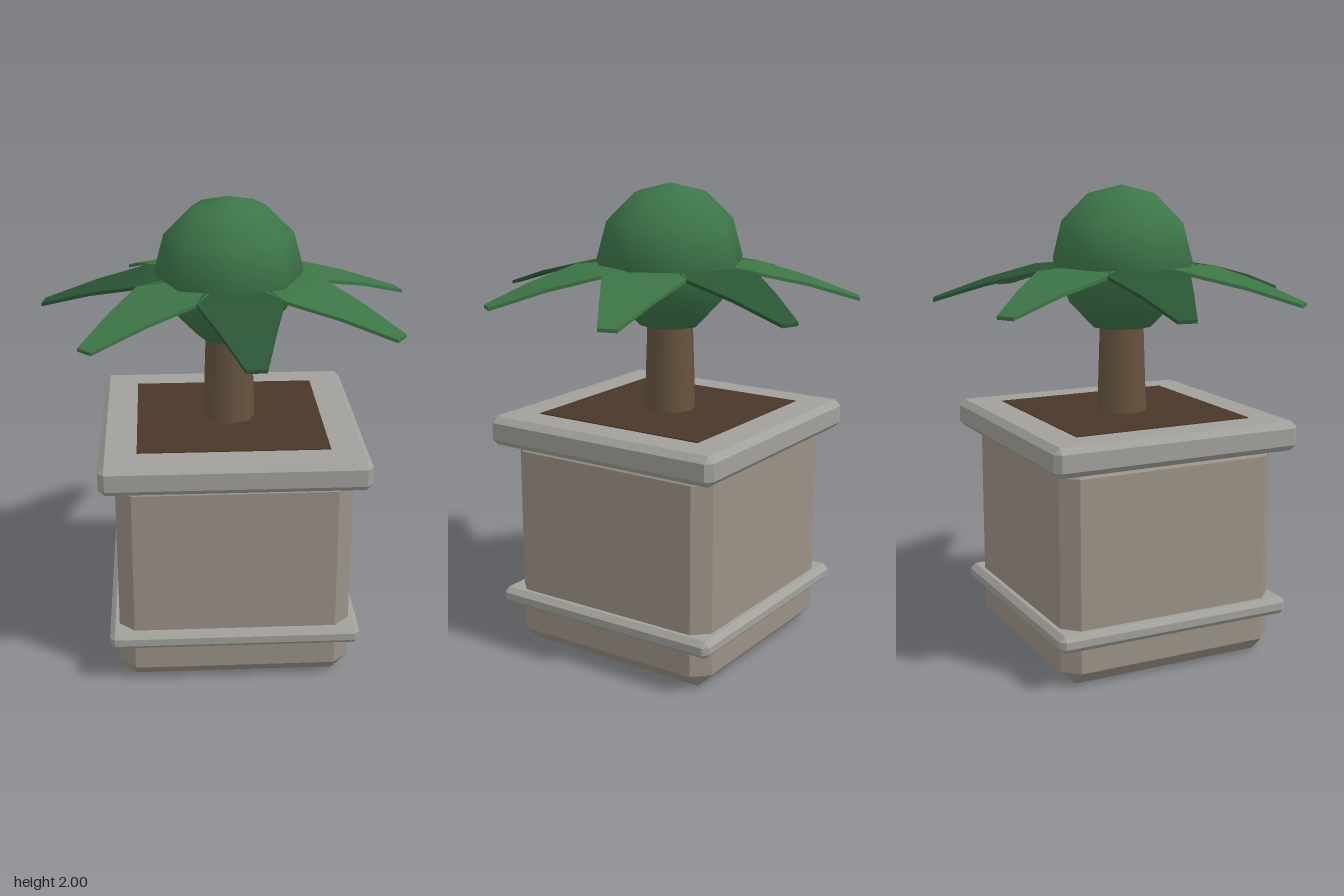
import * as THREE from 'three';
import { ConvexGeometry } from 'three/addons/geometries/ConvexGeometry.js';

const paint = (color, flatShading = false) => new THREE.MeshStandardMaterial({ color, flatShading });

// Box with every edge and corner cut off by c, resting at height y0
function chamferBox(w, y0, y1, c) {
  const h = w / 2, v = (y1 - y0) / 2, points = [];
  for (const x of [-1, 1]) for (const y of [-1, 1]) for (const z of [-1, 1]) {
    points.push(
      new THREE.Vector3(x * h, y * (v - c), z * (h - c)),
      new THREE.Vector3(x * (h - c), y * v, z * (h - c)),
      new THREE.Vector3(x * (h - c), y * (v - c), z * h));
  }
  return new ConvexGeometry(points).translate(0, (y0 + y1) / 2, 0);
}

// Thin drooping leaf along +x: sections of [reach, height, half width]
function leafGeometry() {
  const sections = [[0.18, 1.672, 0.11], [0.365, 1.655, 0.176], [0.58, 1.602, 0.109], [0.8, 1.53, 0.04]];
  const t = 0.014, pos = [], index = [];
  for (const [r, y, w] of sections) pos.push(r, y, w, r, y, -w, r, y - t, -w, r, y - t, w);
  const quad = (a, b, c, d) => index.push(a, b, c, a, c, d);
  for (let i = 0; i < sections.length - 1; i++) {
    for (let k = 0; k < 4; k++) {
      const a = i * 4 + k, b = i * 4 + (k + 1) % 4;
      quad(a, a + 4, b + 4, b);
    }
  }
  quad(0, 1, 2, 3);
  const e = (sections.length - 1) * 4;
  quad(e + 3, e + 2, e + 1, e);
  const g = new THREE.BufferGeometry();
  g.setAttribute('position', new THREE.Float32BufferAttribute(pos, 3));
  g.setIndex(index);
  const flat = g.toNonIndexed();
  flat.computeVertexNormals();
  return flat;
}

export function createModel() {
  const model = new THREE.Group();
  model.name = 'pottedPlant';
  const add = (name, geometry, material, parent = model) => {
    const mesh = new THREE.Mesh(geometry, material);
    mesh.name = name;
    parent.add(mesh);
    return mesh;
  };

  // Square stone planter
  const stone = paint(0x9a9186, true), trim = paint(0xa1a09b, true);
  add('planterBody', chamferBox(0.985, 0, 0.945, 0.065), stone);
  add('planterBand', chamferBox(1.065, 0.175, 0.25, 0.022), trim);
  add('planterRim', chamferBox(1.115, 0.905, 1.03, 0.026), trim);
  add('soil', new THREE.BoxGeometry(0.8, 0.03, 0.8).translate(0, 1.019, 0), paint(0x4a3828));

  // Trunk
  add('trunk', new THREE.CylinderGeometry(0.098, 0.113, 0.45, 8).translate(0, 1.225, 0), paint(0x66543f));

  // Round crown, eight sided with a cut-off base
  const profile = [[0, 1.4], [0.13, 1.4], [0.245, 1.515], [0.315, 1.685], [0.272, 1.845], [0.152, 1.962], [0, 2]]
    .map(([r, y]) => new THREE.Vector2(r, y));
  add('crown', new THREE.LatheGeometry(profile, 8), paint(0x3d7549));

  // Ring of seven leaves in two greens
  const ring = new THREE.Group();
  ring.name = 'leafRing';
  model.add(ring);
  const leaf = leafGeometry(), light = paint(0x3d7546), dark = paint(0x2b5535);
  for (let i = 0; i < 7; i++) {
    const mesh = add('leaf', leaf, [0, 3, 5].includes(i) ? dark : light, ring);
    mesh.rotation.y = THREE.MathUtils.degToRad(68.5) - i * Math.PI * 2 / 7;
  }

  model.position.set(0.007, 0, -0.023);
  return model;
}
